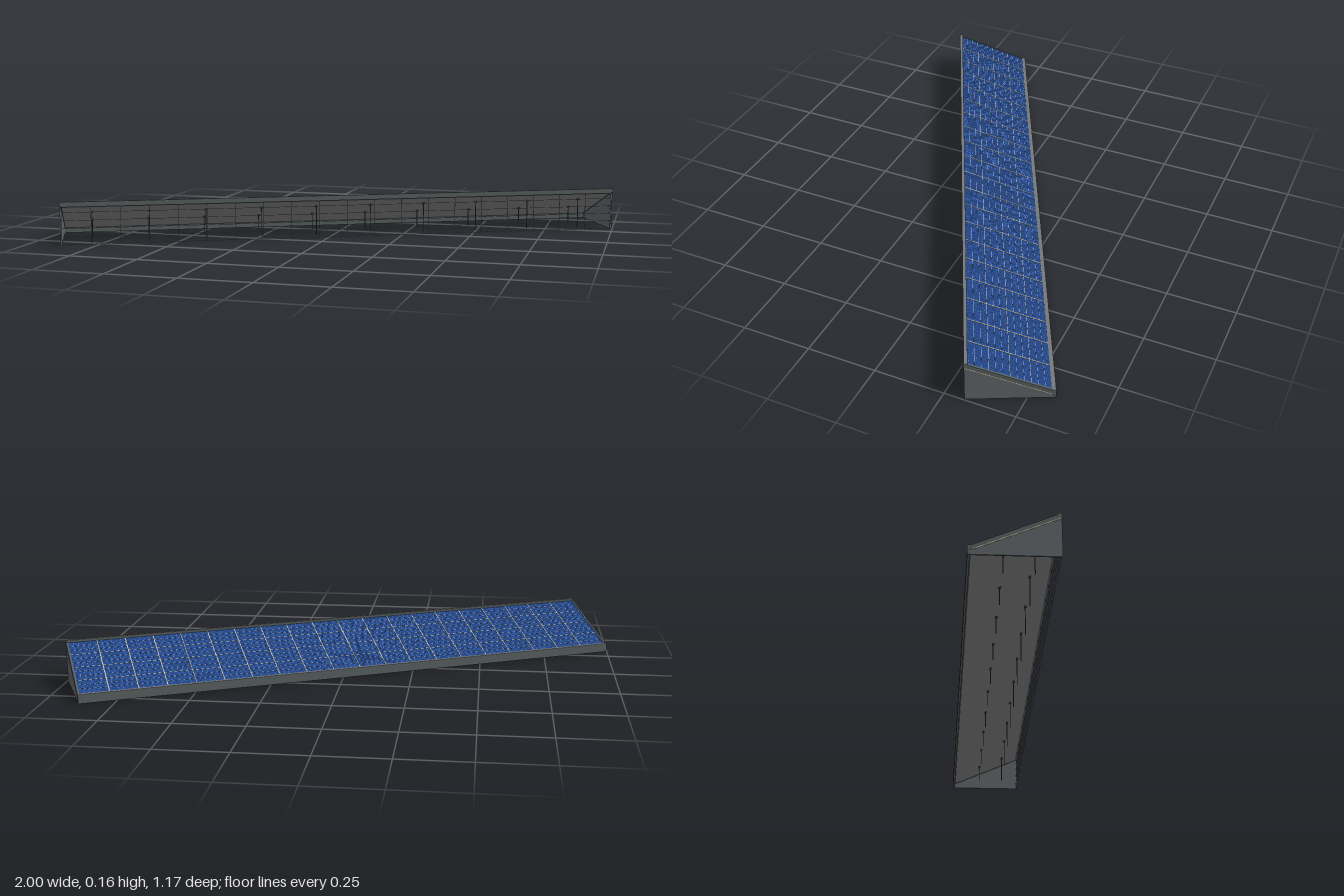
import * as THREE from 'three';

const L = 2.077, W = 0.291;            // length and depth of the array
const LOW = 0.028, HIGH = 0.155;       // heights of the two long edges
const COLS = 20;

const mat = (name, color, side = THREE.FrontSide) => {
  const m = new THREE.MeshStandardMaterial({ color, side });
  m.name = name;
  return m;
};

export function createModel() {
  const plateGrey = mat('plate grey', 0x5e6366, THREE.DoubleSide);
  const railGrey = mat('rail grey', 0x575f5f);
  const capGrey = mat('cap grey', 0x74787a);
  const deckGrey = mat('deck grey', 0x808080);
  const wireGrey = mat('wire grey', 0x70757a);
  const postGrey = mat('post dark grey', 0x45484a);
  const cellBlue = mat('cell blue', 0x1f4488);
  const cellLine = mat('cell line pale blue', 0x8fa4c8);
  const seamTan = mat('seam tan', 0xc4bba2);

  const model = new THREE.Group();
  model.name = 'solarArray';
  const body = new THREE.Group();
  body.name = 'arrayBody';
  body.rotation.y = Math.atan2(0.905, 1.87);
  model.add(body);

  const box = (parent, name, material, w, h, d, x, y, z) => {
    const m = new THREE.Mesh(new THREE.BoxGeometry(w, h, d), material);
    m.name = name;
    m.position.set(x, y, z);
    parent.add(m);
  };

  // Sloping deck, in its own tilted frame with y along the panel normal
  const rise = HIGH - LOW;
  const slope = Math.hypot(rise, W);
  const deck = new THREE.Group();
  deck.name = 'tiltedDeck';
  deck.position.y = (HIGH + LOW) / 2;
  deck.rotation.x = -Math.atan2(rise, W);
  body.add(deck);
  box(deck, 'deckBoard', deckGrey, L - 0.012, 0.006, slope - 0.012, 0, -0.009, 0);

  // Panels, with pale cell lines and tan seams
  const pitch = (L - 0.016) / COLS, run = slope - 0.026;
  box(deck, 'panelSurface', cellBlue, L - 0.016, 0.004, run, 0, -0.004, 0);
  for (let i = 0; i < COLS; i++) {
    const x = (i - COLS / 2) * pitch;
    if (i > 0) box(deck, 'panelSeam', seamTan, 0.0035, 0.001, run, x, -0.0012, 0);
    for (let j = 1; j < 6; j++) {
      box(deck, 'cellColumnLine', cellLine, 0.0007, 0.0006, run, x + j * pitch / 6, -0.0018, 0);
    }
  }
  for (let k = 1; k < 12; k++) {
    const tan = k % 3 === 0;
    box(deck, 'cellRowLine', tan ? seamTan : cellLine, L - 0.016, 0.0008, tan ? 0.0016 : 0.001,
      0, -0.0016, (k / 12 - 0.5) * run);
  }

  // High rail and low fascia with flat caps, and the sloping end rims
  box(body, 'highRail', railGrey, L, 0.016, 0.012, 0, HIGH - 0.009, W / 2 - 0.006);
  box(body, 'highCap', capGrey, L, 0.002, 0.012, 0, HIGH, W / 2 - 0.006);
  box(body, 'lowFascia', railGrey, L, LOW + 0.003, 0.008, 0, (LOW + 0.003) / 2, -W / 2 + 0.004);
  box(body, 'lowCap', capGrey, L, 0.002, 0.014, 0, LOW + 0.004, -W / 2 + 0.007);
  for (const s of [-1, 1]) {
    box(deck, 'endRim', railGrey, 0.008, 0.014, slope - 0.006, s * (L / 2 - 0.004), -0.007, 0);
  }

  // Tapered end plates, each with a pale trim line
  const side = new THREE.Shape([
    new THREE.Vector2(-W / 2, 0), new THREE.Vector2(W / 2, 0),
    new THREE.Vector2(W / 2, HIGH - 0.002), new THREE.Vector2(-W / 2, LOW - 0.002),
  ]);
  for (const s of [-1, 1]) {
    const geo = new THREE.ExtrudeGeometry(side, { depth: 0.005, bevelEnabled: false });
    geo.rotateY(-Math.PI / 2);
    geo.translate(0.0025 + s * (L / 2 - 0.0035), 0, 0);
    const plate = new THREE.Mesh(geo, plateGrey);
    plate.name = 'endPlate';
    body.add(plate);
    box(deck, 'endPlateTrim', seamTan, 0.002, 0.003, slope - 0.02, s * (L / 2 - 0.0005), -0.0155, 0);
  }

  // Wire mesh below the high rail
  const zMesh = W / 2 - 0.004;
  for (let i = 0; i <= COLS; i++) {
    box(body, 'meshUpright', wireGrey, 0.0016, HIGH - 0.012, 0.0016,
      (i / COLS - 0.5) * (L - 0.012), (HIGH - 0.012) / 2, zMesh);
  }
  for (let k = 0; k < 5; k++) {
    box(body, 'meshWire', wireGrey, L - 0.01, 0.0014, 0.0014, 0, 0.002 + k * 0.029, zMesh);
  }

  // Support posts under the deck, each with a small clamp
  for (const z of [-0.03, 0.07]) {
    const top = (HIGH + LOW) / 2 + z * rise / W - 0.012;
    for (let i = 0; i < COLS / 2; i++) {
      const x = (i + 0.5 - COLS / 4) * 2 * pitch;
      const post = new THREE.Mesh(new THREE.CylinderGeometry(0.0016, 0.0016, top, 6), postGrey);
      post.name = 'supportPost';
      post.position.set(x, top / 2, z);
      body.add(post);
      box(body, 'postClamp', postGrey, 0.008, 0.006, 0.008, x, top - 0.003, z);
    }
  }
  return model;
}
